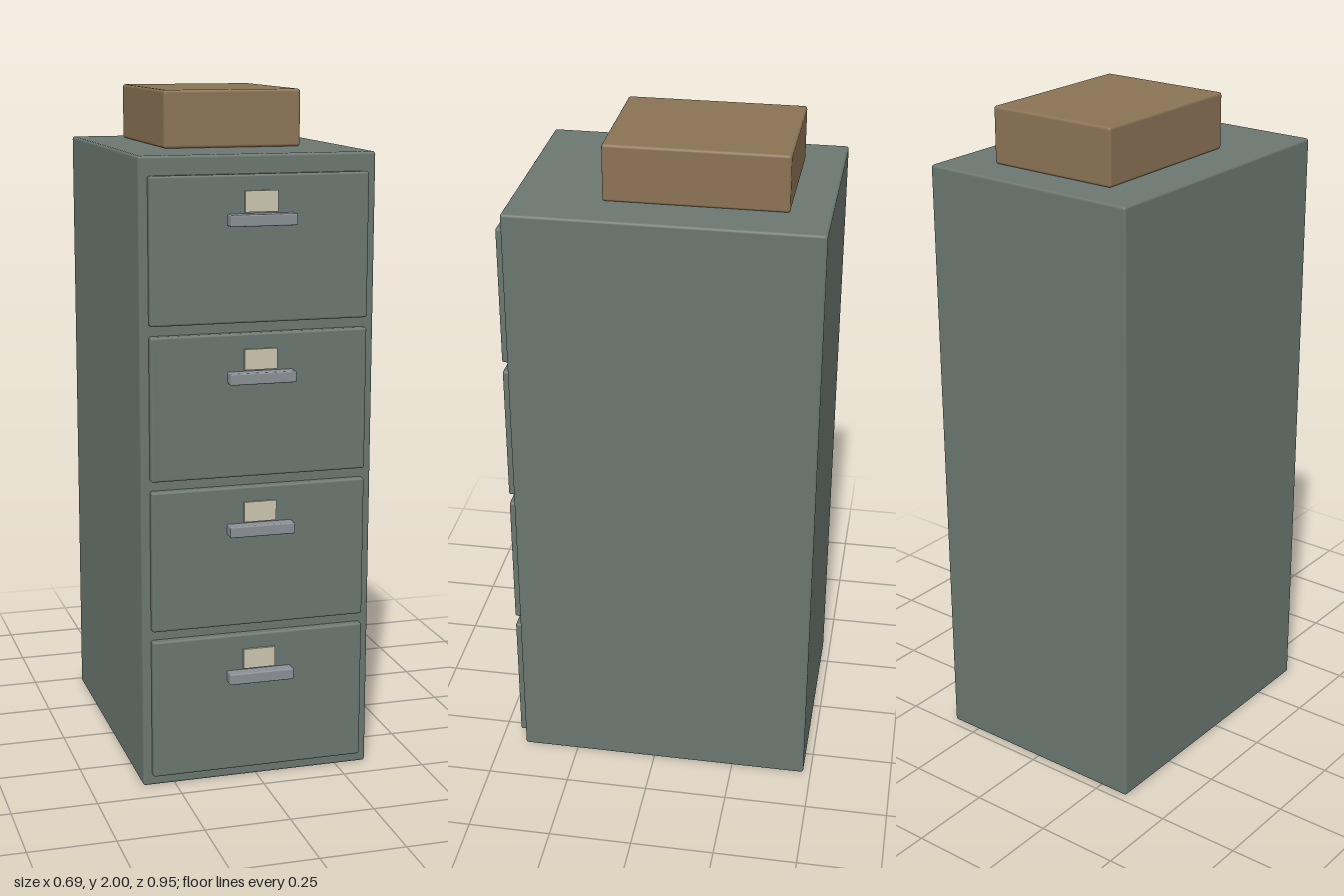
import * as THREE from 'three';
import { RoundedBoxGeometry } from 'three/addons/geometries/RoundedBoxGeometry.js';

const steel = new THREE.MeshStandardMaterial({ color: 0x6b7770 });
const metal = new THREE.MeshStandardMaterial({ color: 0x8a9096 });
const paper = new THREE.MeshStandardMaterial({ color: 0xccc4b0 });
const cardboard = new THREE.MeshStandardMaterial({ color: 0x8b7355 });

// Box given by its min and max corners, with softened edges when bevel > 0
function block(name, material, [x0, y0, z0], [x1, y1, z1], bevel = 0) {
  const size = [x1 - x0, y1 - y0, z1 - z0];
  const geometry = bevel > 0
    ? new RoundedBoxGeometry(...size, 2, bevel)
    : new THREE.BoxGeometry(...size);
  const mesh = new THREE.Mesh(geometry, material);
  mesh.name = name;
  mesh.position.set((x0 + x1) / 2, (y0 + y1) / 2, (z0 + z1) / 2);
  return mesh;
}

// One drawer: front panel, pull handle and label card above it
function createDrawer() {
  const drawer = new THREE.Group();
  drawer.name = 'drawer';
  drawer.add(
    block('drawerFront', steel, [-0.319, 0, 0.405], [0.319, 0.415, 0.442], 0.007),
    block('handle', metal, [-0.097, 0.274, 0.437], [0.097, 0.307, 0.477], 0.004),
    block('labelCard', paper, [-0.048, 0.311, 0.437], [0.048, 0.37, 0.449]),
  );
  return drawer;
}

export function createModel() {
  const model = new THREE.Group();
  model.name = 'filingCabinet';

  // Cabinet body
  model.add(block('cabinetBody', steel, [-0.345, 0, -0.477], [0.345, 1.834, 0.42], 0.008));

  // Four stacked drawers
  for (let i = 0; i < 4; i++) {
    const drawer = createDrawer();
    drawer.position.y = 0.033 + i * 0.444;
    model.add(drawer);
  }

  // Storage box resting on top
  model.add(block('storageBox', cardboard, [-0.206, 1.834, -0.361], [0.206, 2, 0.163], 0.008));

  return model;
}
